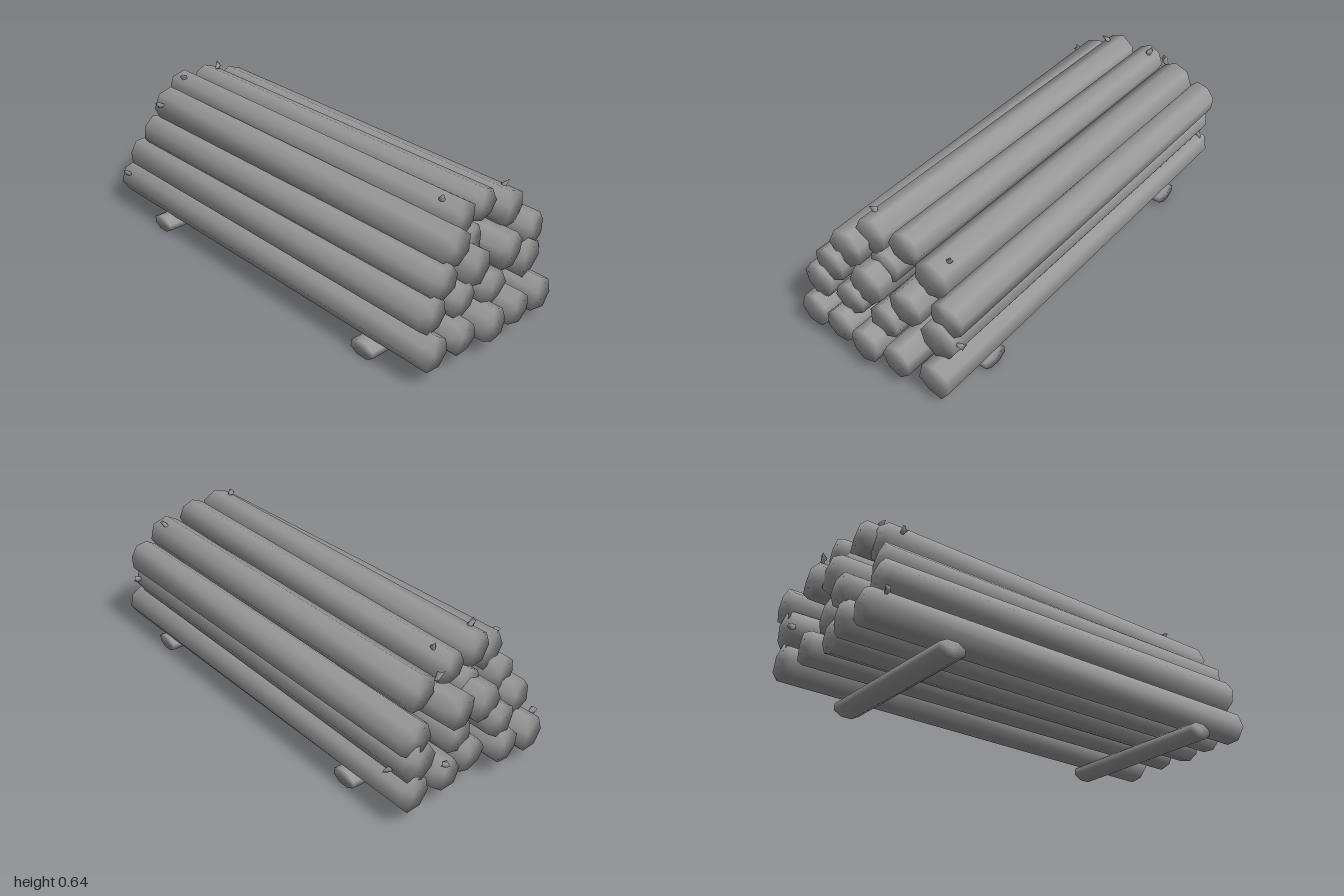
import * as THREE from 'three';
import { mergeVertices } from 'three/addons/utils/BufferGeometryUtils.js';

const X = new THREE.Vector3(1, 0, 0);

export function createModel() {
  const model = new THREE.Group();
  const grey = new THREE.MeshStandardMaterial({ color: 0x999999 });
  grey.name = 'wood grey';

  let seed = 7;
  const rand = () => (seed = (seed * 16807) % 2147483647) / 2147483647;

  // Closed shape along x; rim and cap share smooth normals
  function rod(rLeft, rRight, length, sides, jitter, phase) {
    let g = new THREE.CylinderGeometry(rRight, rLeft, length, sides, 1, false, phase);
    g.rotateZ(-Math.PI / 2);
    g.deleteAttribute('uv');
    g.deleteAttribute('normal');
    g = mergeVertices(g, 1e-4);
    const p = g.attributes.position;
    for (let i = 0; i < p.count; i++) {
      const k = 1 + (rand() - 0.5) * jitter;
      const rim = Math.hypot(p.getY(i), p.getZ(i)) > 0.001;
      const shift = rim ? (rand() - 0.5) * jitter * 0.12 : 0;
      p.setXYZ(i, p.getX(i) + shift, p.getY(i) * k, p.getZ(i) * k);
    }
    g.computeVertexNormals();
    return g;
  }

  function add(name, geometry, x, y, z, direction) {
    const mesh = new THREE.Mesh(geometry, grey);
    mesh.name = name;
    mesh.position.set(x, y, z);
    if (direction) mesh.quaternion.setFromUnitVectors(X, direction);
    model.add(mesh);
  }

  // Logs: left x, y, z, right x, y, z, radius
  const logs = [
    // bottom row
    [-0.95, 0.135, 0.305, 0.96, 0.135, 0.31, 0.074],
    [-0.95, 0.139, 0.166, 0.97, 0.139, 0.166, 0.073],
    [-0.91, 0.139, 0.02, 0.99, 0.139, 0.02, 0.073],
    [-0.94, 0.139, -0.135, 0.98, 0.139, -0.135, 0.072],
    [-0.95, 0.135, -0.3, 0.96, 0.122, -0.3, 0.075],
    // second row
    [-0.88, 0.274, 0.29, 0.93, 0.276, 0.297, 0.075],
    [-0.95, 0.27, 0.13, 0.93, 0.265, 0.135, 0.072],
    [-0.9, 0.252, -0.045, 0.93, 0.246, -0.04, 0.075],
    [-0.95, 0.265, -0.285, 0.9, 0.268, -0.278, 0.08],
    // third row
    [-0.84, 0.382, 0.234, 0.92, 0.38, 0.236, 0.076],
    [-0.94, 0.376, 0.046, 0.92, 0.372, 0.05, 0.08],
    [-0.95, 0.405, -0.095, 0.92, 0.362, -0.143, 0.077],
    [-0.95, 0.378, -0.31, 0.89, 0.38, -0.312, 0.076],
    // fourth row
    [-0.82, 0.5, 0.175, 0.9, 0.485, 0.156, 0.08],
    [-0.87, 0.436, 0.015, 0.85, 0.436, 0.015, 0.07],
    [-0.87, 0.49, -0.222, 0.85, 0.488, -0.215, 0.08],
    // top row
    [-0.85, 0.555, 0.07, 0.85, 0.555, 0.07, 0.074],
    [-0.87, 0.545, -0.075, 0.83, 0.55, -0.072, 0.07],
  ];
  for (const [x0, y0, z0, x1, y1, z1, r] of logs) {
    const a = new THREE.Vector3(x0, y0, z0);
    const d = new THREE.Vector3(x1, y1, z1).sub(a);
    const c = a.clone().addScaledVector(d, 0.5);
    const sides = rand() < 0.5 ? 7 : 8;
    add('log', rod(r, r, d.length(), sides, 0.09, rand() * 6), c.x, c.y, c.z, d.normalize());
  }

  // Branch stubs: x, y, z and outward direction in y, z
  const stubs = [
    [-0.787, 0.62, 0.105, 1, 0.5],
    [0.78, 0.62, 0.105, 1, 0.5],
    [-0.81, 0.612, -0.103, 1, -0.5],
    [0.785, 0.555, -0.25, 1, -0.4],
    [-0.77, 0.532, 0.25, 0.3, 1],
    [-0.89, 0.545, -0.152, 1, 0.8],
    [-0.9, 0.186, 0.378, 0.5, 1],
    [-0.85, 0.162, -0.208, 0.3, -1],
    [-0.88, 0.235, -0.355, -0.4, -1],
    [0.88, 0.28, -0.36, 0.2, -1],
    [-0.982, 0.232, -0.18, -0.5, 1],
  ];
  for (const [x, y, z, dy, dz] of stubs) {
    add('branchStub', rod(0.008, 0.014, 0.028, 5, 0.3, rand() * 6),
      x, y, z, new THREE.Vector3(0, dy, dz).normalize());
  }

  // Flattened bearers running front to back
  for (const x of [-0.623, 0.668]) {
    const g = rod(0.063, 0.063, 0.74, 8, 0, Math.PI / 8);
    g.scale(1, 0.577, 1).rotateY(Math.PI / 2);
    g.computeVertexNormals();
    add('bearer', g, x, 0.0336, 0.015);
  }
  return model;
}
